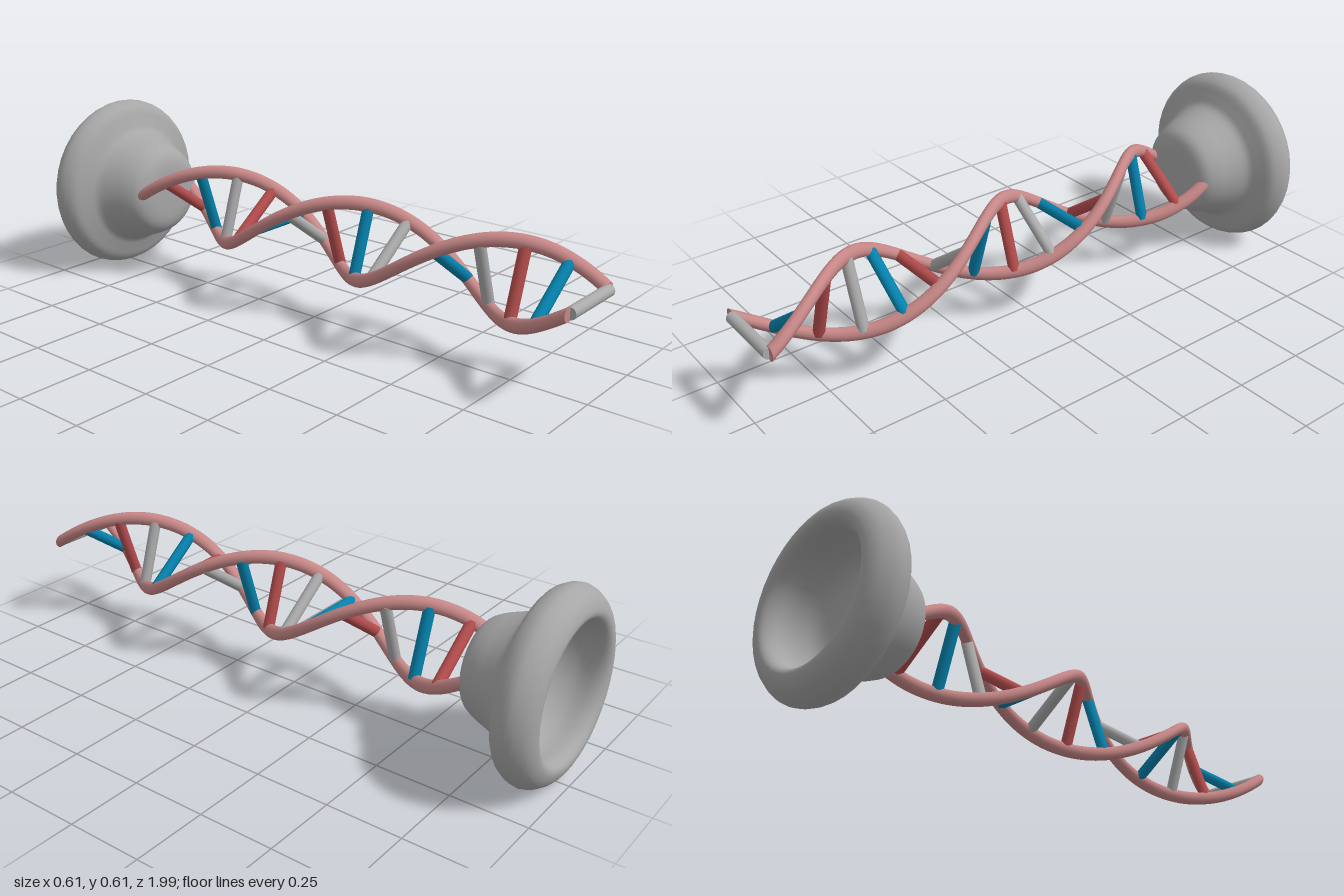
import * as THREE from 'three';

const AXIS_Y = 0.304, START_Z = 0.98, END_Z = -0.71, HALF_TURN = 0.565;
const HELIX_R = 0.119, STRAND_R = 0.023, RUNG_R = 0.0188;
const RUNGS = 15; // five per half turn

const angleAt = (z) => ((START_Z - z) / HALF_TURN) * Math.PI;

// Round bar along z whose cross-sections are shifted round the axis
function strandGeometry(phase) {
  const length = START_Z - END_Z;
  const geometry = new THREE.CylinderGeometry(STRAND_R, STRAND_R, length, 18, 160);
  geometry.rotateX(Math.PI / 2);
  geometry.translate(0, 0, (START_Z + END_Z) / 2);
  const { position, normal } = geometry.attributes;
  const n = new THREE.Vector3();
  const turnRate = -Math.PI / HALF_TURN;
  for (let i = 0; i < position.count; i++) {
    const a = angleAt(position.getZ(i)) + phase;
    const dx = HELIX_R * Math.cos(a), dy = HELIX_R * Math.sin(a);
    position.setXY(i, position.getX(i) + dx, position.getY(i) + dy);
    // Lean the normal with the slope of the strand
    n.fromBufferAttribute(normal, i);
    n.z -= turnRate * (n.y * dx - n.x * dy);
    n.normalize();
    normal.setXYZ(i, n.x, n.y, n.z);
  }
  return geometry;
}

export function createModel() {
  const model = new THREE.Group();
  model.name = 'doubleHelixOnCup';
  const material = (color) => new THREE.MeshStandardMaterial({ color });
  const grey = material(0xa6a6a6);
  const pink = material(0xc68686);
  const rungMaterials = [material(0xaaaaaa), material(0x0481ac), material(0xb44c4c)];

  const add = (name, geometry, mat, parent) => {
    const mesh = new THREE.Mesh(geometry, mat);
    mesh.name = name;
    parent.add(mesh);
    return mesh;
  };

  const helix = new THREE.Group();
  helix.name = 'helix';
  helix.position.set(0.003, AXIS_Y, 0);
  model.add(helix);

  // Two opposite strands
  add('leftStrand', strandGeometry(0), pink, helix);
  add('rightStrand', strandGeometry(Math.PI), pink, helix);

  // Rungs turning with the strands, colours repeating in threes
  const rungGeometry = new THREE.CylinderGeometry(RUNG_R, RUNG_R, 0.228, 16);
  rungGeometry.rotateZ(Math.PI / 2);
  for (let i = 0; i < RUNGS; i++) {
    const z = START_Z - (i * HALF_TURN) / 5;
    const rung = add('rung', rungGeometry, rungMaterials[i % 3], helix);
    rung.position.set(0.003, 0, z);
    rung.rotation.z = angleAt(z);
  }

  // Flared hollow cup: from the bowl, round the rim, to the front face
  const profile = new THREE.SplineCurve([
    [0, -0.82], [0.1, -0.823], [0.165, -0.845], [0.2, -0.9], [0.205, -0.96],
    [0.22, -0.988], [0.245, -0.992], [0.28, -0.972], [0.304, -0.925], [0.285, -0.875],
    [0.24, -0.853], [0.205, -0.835], [0.183, -0.79], [0.165, -0.74],
    [0.142, -0.7], [0.105, -0.682], [0.05, -0.678], [0, -0.678],
  ].map(([r, z]) => new THREE.Vector2(r, z))).getPoints(68);
  profile.forEach((p) => { p.x = Math.max(p.x, 0); });
  const cupGeometry = new THREE.LatheGeometry(profile, 40);
  cupGeometry.rotateX(Math.PI / 2);
  const cup = add('cup', cupGeometry, grey, model);
  cup.position.y = AXIS_Y;

  return model;
}
